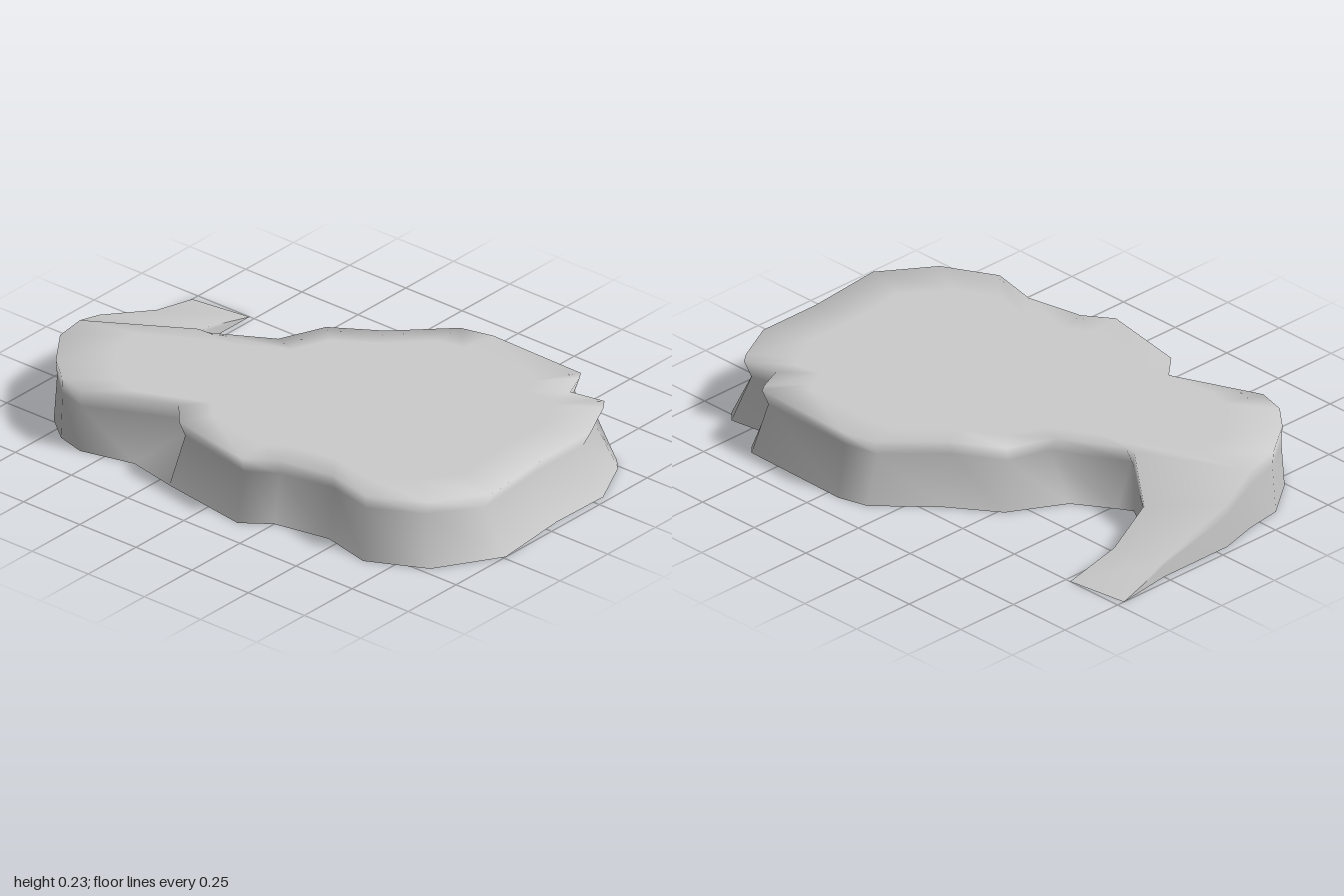
import * as THREE from 'three';

const H = 0.23;

// Plateau outline, clockwise from above: [foot x, foot z, rim x, rim z, rim height]
const plateau = [
  [-0.57, 0, -0.57, 0],
  [-0.52, -0.03, -0.53, 0],
  [-0.38, -0.12, -0.32, -0.12],
  [-0.27, -0.32, -0.25, -0.29],
  [-0.1, -0.44, -0.08, -0.4],
  [0.09, -0.62, 0.1, -0.58],
  [0.2, -0.65, 0.22, -0.61],
  [0.63, -0.64, 0.62, -0.6],
  [0.66, -0.61, 0.64, -0.57],
  [0.7, -0.51, 0.68, -0.475],
  [0.84, -0.53, 0.81, -0.5],
  [0.88, -0.49, 0.84, -0.46],
  [0.975, -0.3, 0.92, -0.3],
  [0.97, -0.06, 0.92, -0.05],
  [1, 0.24, 0.95, 0.25],
  [0.86, 0.47, 0.82, 0.44],
  [0.65, 0.575, 0.63, 0.54],
  [0.46, 0.53, 0.45, 0.5],
  [0.25, 0.57, 0.24, 0.54],
  [0.15, 0.645, 0.14, 0.61],
  [-0.2, 0.59, -0.19, 0.55],
  [-0.39, 0.55, -0.27, 0.46],
  [-0.59, 0.6, -0.59, 0.595],
  [-0.7, 0.57, -0.7, 0.565],
  [-0.8, 0.49, -0.795, 0.485],
  [-0.91, 0.34, -0.9, 0.34],
  [-0.93, 0.2, -0.93, 0.2, 0.22],
];

// Ramp edges from the plateau down to the ground: [x, z, height]
const rampOuter = [[-0.97, 0.05, 0.165], [-0.97, -0.25, 0.06], [-1, -0.47, 0]];
const rampInner = [[-0.71, -0.09, 0.11], [-0.77, -0.29, 0.05], [-0.77, -0.5, 0]];

export function createModel() {
  const group = new THREE.Group();
  const positions = [], index = [];
  const add = (x, y, z) => positions.push(x, y, z) / 3 - 1;
  const quad = (a, b, c, d) => index.push(a, b, c, a, c, d);

  const upright = ([x, z, y]) => [x, z, x, z, y];
  const rows = [...plateau, ...rampOuter.map(upright), ...rampInner.map(upright).reverse()];
  const n = rows.length, p = plateau.length;

  // Three rings: foot, undercut waist and rim
  const foot = rows.map(([x, z]) => add(x, 0, z));
  const waist = rows.map(([bx, bz, tx, tz, y = H]) =>
    add(tx + 0.6 * (tx - bx), y * 0.74, tz + 0.6 * (tz - bz)));
  const rim = rows.map(([, , x, z, y = H]) => add(x, y, z));

  // Side walls all the way around, open underneath
  for (let i = 0; i < n; i++) {
    const j = (i + 1) % n;
    if (i === p + rampOuter.length - 1) continue; // ramp tip lies on the ground
    quad(foot[i], waist[i], waist[j], foot[j]);
    quad(waist[i], rim[i], rim[j], waist[j]);
  }

  // Plateau top: a border band, then a fan to the centre
  const cx = 0.1, cz = 0.02;
  const inner = plateau.map(([, , x, z]) => add(cx + 0.8 * (x - cx), H, cz + 0.8 * (z - cz)));
  const centre = add(cx, H, cz);
  for (let i = 0; i < p; i++) {
    const j = (i + 1) % p;
    quad(rim[i], inner[i], inner[j], rim[j]);
    index.push(centre, inner[j], inner[i]);
  }

  // Ramp surface between its two edges
  for (let k = 0; k < rampOuter.length; k++) {
    const o = p - 1 + k, r = (n - k) % n;
    quad(rim[o], rim[r], rim[n - k - 1], rim[o + 1]);
  }

  const geometry = new THREE.BufferGeometry();
  geometry.setAttribute('position', new THREE.Float32BufferAttribute(positions, 3));
  geometry.setIndex(index);
  // Walls face outward, tops face upward
  for (let i = 0; i < index.length; i += 3) {
    const [a, b, c] = [0, 1, 2].map(k => new THREE.Vector3().fromArray(positions, index[i + k] * 3));
    const normal = b.clone().sub(a).cross(c.clone().sub(a));
    const isTop = [0, 1, 2].every(k => index[i + k] >= rim[0]);
    if (isTop && normal.y < 0) [index[i + 1], index[i + 2]] = [index[i + 2], index[i + 1]];
  }
  geometry.setIndex(index);
  geometry.computeVertexNormals();

  const rock = new THREE.Mesh(geometry,
    new THREE.MeshStandardMaterial({ color: 0xcccccc, side: THREE.DoubleSide }));
  rock.name = 'rockPlateauWithRamp';
  group.add(rock);
  return group;
}
